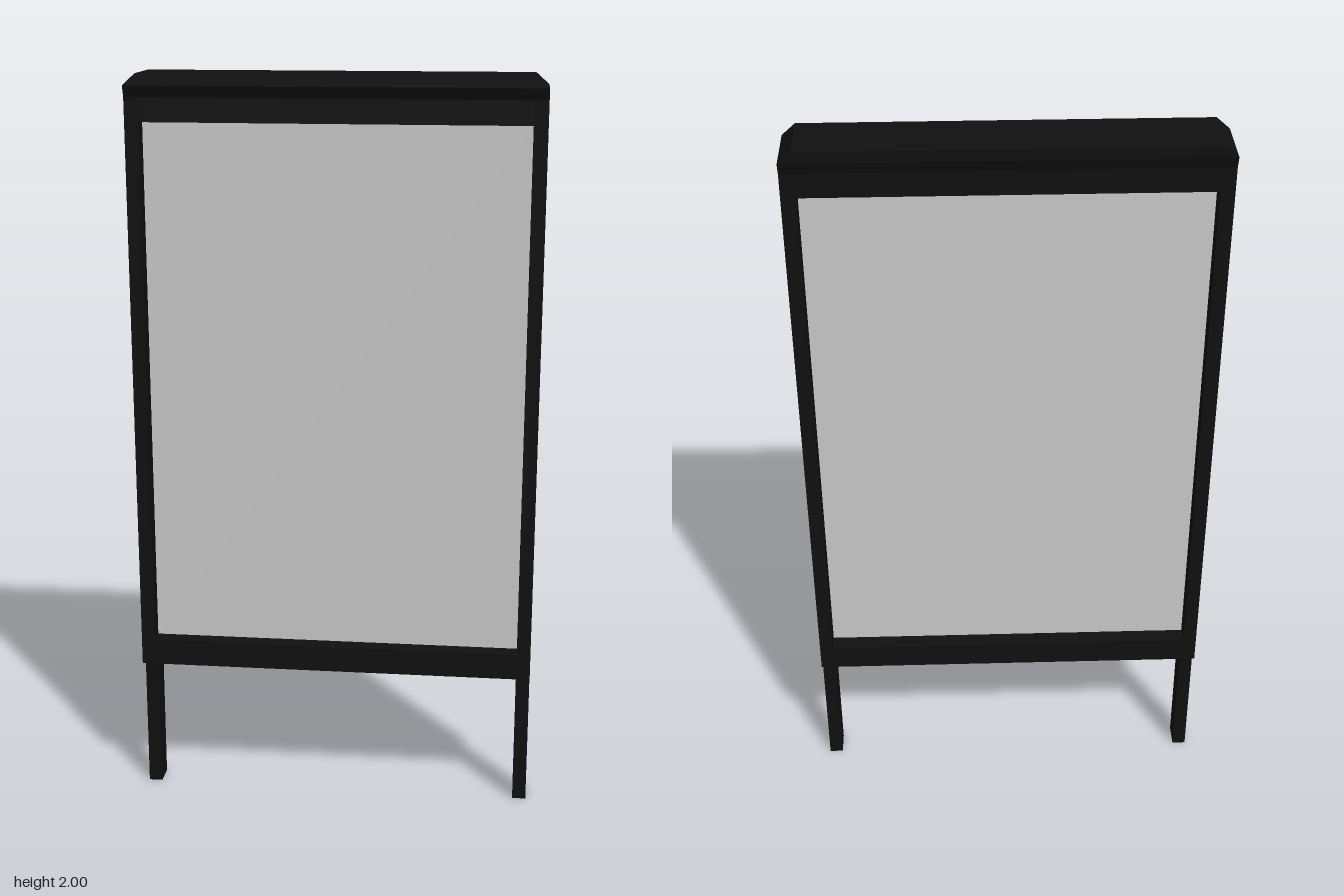
import * as THREE from 'three';

const black = new THREE.MeshStandardMaterial({ color: 0x101010, flatShading: true });
const grey = new THREE.MeshStandardMaterial({ color: 0xcccccc, flatShading: true });

const HALF_W = 0.54, POST_W = 0.037, DEPTH = 0.14;
const BOTTOM = 0.38, CAP_BOTTOM = 1.94, TOP = 2;
const INNER_W = 2 * (HALF_W - POST_W);

export function createModel() {
  const group = new THREE.Group();

  // Box spanning y0..y1, centred on z = 0
  const addBox = (name, w, y0, y1, d, x = 0, material = black) => {
    const mesh = new THREE.Mesh(new THREE.BoxGeometry(w, y1 - y0, d), material);
    mesh.position.set(x, (y0 + y1) / 2, 0);
    mesh.name = name;
    group.add(mesh);
  };

  // Side posts and the thinner legs below them
  for (const [side, s] of [['left', 1], ['right', -1]]) {
    const x = s * (HALF_W - POST_W / 2);
    addBox(side + 'Post', POST_W, BOTTOM, CAP_BOTTOM, DEPTH, x);
    addBox(side + 'Leg', POST_W, 0, BOTTOM, 0.064, x);
  }

  // Rails and the recessed double-sided display panel
  addBox('bottomRail', INNER_W, BOTTOM, 0.452, DEPTH);
  addBox('topRail', INNER_W, 1.877, CAP_BOTTOM, DEPTH);
  addBox('displayPanel', INNER_W, 0.452, 1.877, 0.05, 0, grey);

  // Cap: flares out in depth at the bottom, chamfered at both ends on top
  const h = TOP - CAP_BOTTOM;
  const capGeometry = new THREE.BoxGeometry(2 * HALF_W, h, 0.16, 1, 2, 1);
  const p = capGeometry.attributes.position;
  for (let i = 0; i < p.count; i++) {
    if (p.getY(i) > 0.01) p.setX(i, Math.sign(p.getX(i)) * 0.506);
    if (p.getY(i) < -0.01) p.setZ(i, Math.sign(p.getZ(i)) * DEPTH / 2);
  }
  const flat = capGeometry.toNonIndexed();
  flat.computeVertexNormals();
  const cap = new THREE.Mesh(flat, black);
  cap.position.y = CAP_BOTTOM + h / 2;
  cap.name = 'topCap';
  group.add(cap);

  return group;
}
